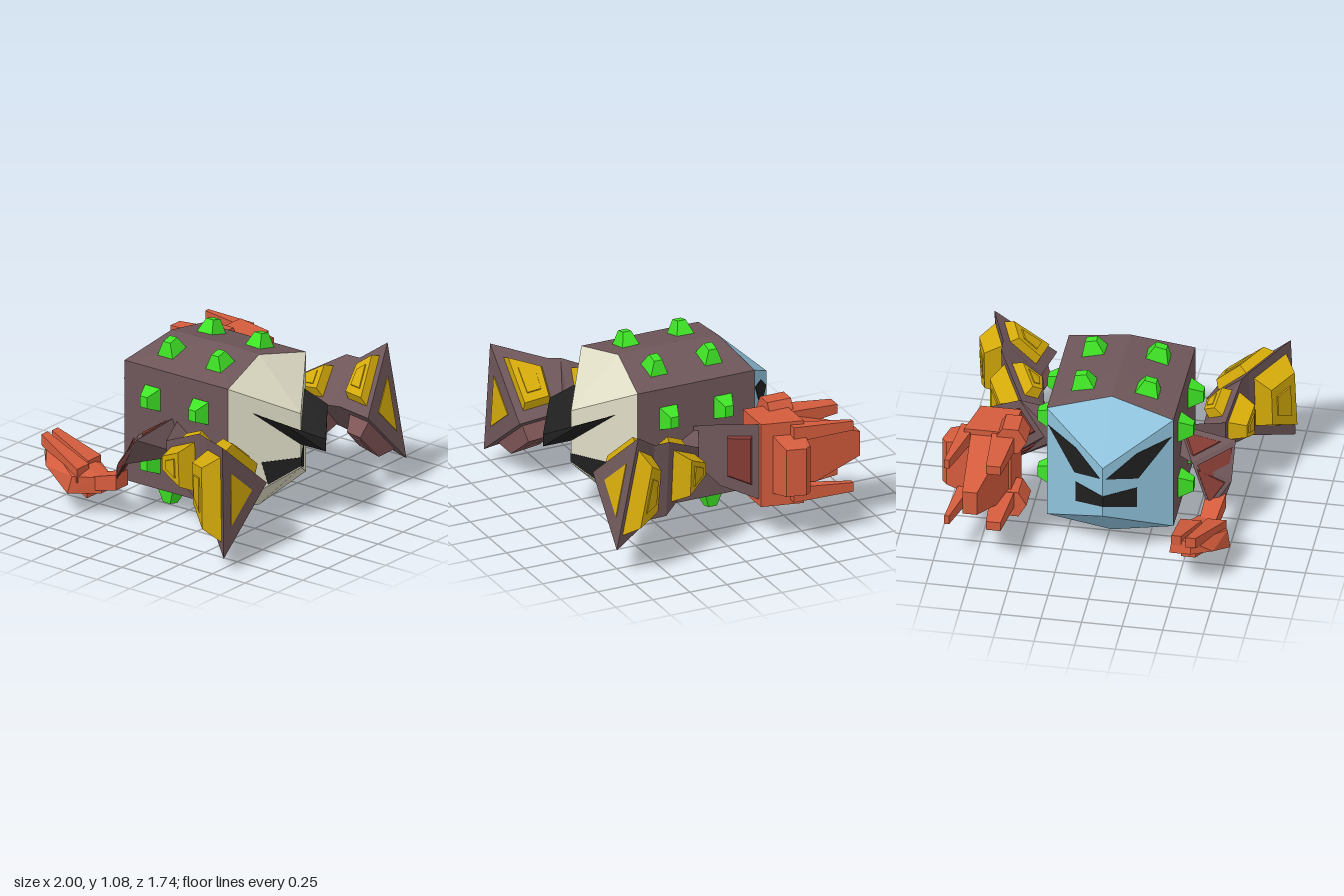
import * as THREE from 'three';
import { ConvexGeometry } from 'three/addons/geometries/ConvexGeometry.js';

const V = (p) => new THREE.Vector3(...p);
const CX = -0.025, CY = 0.54; // body centre line

export function createModel() {
  const model = new THREE.Group();
  model.name = 'robot';
  const paint = (name, color) => {
    const m = new THREE.MeshStandardMaterial({ color });
    m.name = name;
    return m;
  };
  const brown = paint('brown', 0x6e5659), cream = paint('cream', 0xe0ddc6), blue = paint('blue', 0x8fc2dc);
  const green = paint('green', 0x3fe426), yellow = paint('yellow', 0xd3a90a), red = paint('red', 0xd45c3d);
  const darkRed = paint('darkRed', 0x823a34), rust = paint('rust', 0x85595a), black = paint('black', 0x202020);

  // Faceted convex part from its corner points
  function hull(name, mat, pts, parent = model) {
    const mesh = new THREE.Mesh(new ConvexGeometry(pts.map((p) => (p.isVector3 ? p : V(p)))), mat);
    mesh.name = name;
    parent.add(mesh);
    return mesh;
  }

  // Tapered block between two upright rectangles [x0, x1, y0, y1, z]
  function taper(name, mat, a, b, parent) {
    const corners = ([x0, x1, y0, y1, z]) => [[x0, y0, z], [x1, y0, z], [x1, y1, z], [x0, y1, z]];
    return hull(name, mat, [...corners(a), ...corners(b)], parent);
  }

  // Raised bevelled pad with a smaller plate, on a face pointing away from 'inside'
  function pad([mat, height, base, top], face, inside, parent) {
    const c = face.reduce((s, p) => s.add(p), new THREE.Vector3()).divideScalar(face.length);
    const n = face[2].clone().sub(face[0]);
    n.cross(face[face.length - 1].clone().sub(face[1])).normalize();
    if (n.dot(c.clone().sub(inside)) < 0) n.negate();
    const ring = (s, h) => face.map((p) => c.clone().lerp(p, s).addScaledVector(n, h));
    hull('limbPad', mat, [...ring(base, -0.02), ...ring(top, height)], parent);
    if (height > 0.03) hull('limbPadPlate', mat, [...ring(top * 0.6, height - 0.01), ...ring(top * 0.55, height + 0.008)], parent);
  }

  // Three-sided limb through rings of [outer top, outer bottom, inner ridge]
  function limb(name, rings, pads) {
    const g = new THREE.Group();
    g.name = name;
    model.add(g);
    const r = rings.map((ring) => ring.map(V));
    for (let i = 0; i < r.length - 1; i++) {
      const a = r[i], b = r[i + 1], all = [...a, ...b];
      hull('limbSegment', brown, all, g);
      const inside = all.reduce((s, p) => s.add(p), new THREE.Vector3()).divideScalar(6);
      [[0, 1], [0, 2], [1, 2]].forEach(([u, v], k) => {
        const spec = pads[i] && pads[i][k];
        if (spec) pad(spec, [a[u], a[v], b[v], b[u]], inside, g);
      });
    }
    return g;
  }

  // Body shell and its pointed front and back
  const rim = (zCorner, zRidge) => [
    [CX - 0.39, 0.94, zCorner], [CX + 0.39, 0.94, zCorner], [CX - 0.39, 0.16, zCorner], [CX + 0.39, 0.16, zCorner],
    [CX, 1.03, zRidge], [CX, 0.05, zRidge]];
  const frontRim = rim(0.42, 0.36), backRim = rim(-0.37, -0.31);
  hull('body', brown, [...frontRim, ...backRim, [CX, 1.04, 0.03], [CX, 0.04, 0.03]]);
  hull('frontFace', cream, [...frontRim, [CX, 0.72, 0.68], [CX, 0.37, 0.68]]);
  hull('backFace', blue, [...backRim, [CX, 0.72, -0.64], [CX, 0.37, -0.64]]);

  // Point on a face half: t runs from the nose edge (0) to the body corner (1)
  const onFace = (side, front, t, y, off) => [
    CX + side * (0.39 * t + off * 0.55), y, front ? 0.68 - 0.26 * t + off * 0.83 : -0.64 + 0.27 * t - off * 0.83];
  const mark = (name, side, front, pts) => hull(name, black,
    [-0.004, 0.003].flatMap((off) => pts.map(([t, y]) => onFace(side, front, t, y, off))));

  for (const side of [-1, 1]) {
    // Jutting V-shaped visor and the mouth below it
    hull('visor', black, [
      [CX, 0.61, 0.66], [CX, 0.52, 0.66], [CX, 0.6, 0.87], [CX, 0.52, 0.87],
      [CX + side * 0.26, 0.765, 0.5], [CX + side * 0.215, 0.725, 0.72]]);
    mark('mouth', side, true, [[0, 0.435], [0.54, 0.435], [0.45, 0.285], [0, 0.38]]);
    // Eyes and mouth of the back face
    mark('backEye', side, false, [[0.05, 0.635], [0.48, 0.765], [0.97, 0.82], [0.5, 0.58]]);
    mark('backMouth', side, false, [[0, 0.515], [0.48, 0.515], [0.48, 0.375], [0, 0.44]]);

    // Studs on roof, belly and flanks
    for (const up of [-1, 1]) for (const z of [-0.155, 0.213]) {
      stud([CX + side * 0.195, CY + up * 0.445, z], [side * 0.225, up * 0.974, 0]);
      stud([CX + side * 0.39, CY + up * 0.205, z], [side, 0, 0]);
    }
  }
  function stud(at, normal) {
    const n = V(normal), t = n.clone().cross(V([0, 0, 1])), pts = [];
    for (const [h, a, b] of [[-0.02, 0.082, 0.066], [0.09, 0.036, 0.027]])
      for (const i of [-1, 1]) for (const j of [-1, 1])
        pts.push(V(at).addScaledVector(n, h).addScaledVector(t, i * a).add(V([0, 0, j * b])));
    hull('stud', green, pts);
  }

  // Front arms flaring into triangular ends
  const outer = [yellow, 0.11, 0.74, 0.48], upper = [yellow, 0.07, 0.66, 0.46], under = [rust, 0.1, 0.72, 0.48];
  const endOuter = [yellow, 0.11, 0.8, 0.55], endUpper = [yellow, 0.06, 0.7, 0.56];
  const armPads = [null, [outer, upper, under], null, [endOuter, endUpper, under]];
  const arms = [
    ['leftFrontArm', [
      [[0.34, 0.64, 0.0], [0.34, 0.42, 0.0], [0.34, 0.53, 0.18]],
      [[0.6, 0.62, 0.12], [0.6, 0.46, 0.12], [0.48, 0.54, 0.2]],
      [[0.78, 0.79, 0.41], [0.78, 0.3, 0.43], [0.53, 0.55, 0.47]],
      [[0.785, 0.79, 0.51], [0.785, 0.3, 0.55], [0.55, 0.55, 0.54]],
      [[0.865, 0.9, 0.66], [0.865, 0.18, 0.805], [0.5, 0.55, 0.79]]]],
    ['rightFrontArm', [
      [[-0.39, 0.64, 0.02], [-0.39, 0.4, 0.02], [-0.39, 0.52, 0.18]],
      [[-0.65, 0.61, 0.13], [-0.65, 0.43, 0.13], [-0.5, 0.52, 0.2]],
      [[-0.7, 0.74, 0.42], [-0.7, 0.28, 0.44], [-0.49, 0.5, 0.47]],
      [[-0.73, 0.74, 0.49], [-0.74, 0.27, 0.51], [-0.465, 0.5, 0.52]],
      [[-0.94, 0.81, 0.78], [-0.965, 0.1, 0.81], [-0.51, 0.45, 0.79]]]],
  ];
  for (const [name, rings] of arms) {
    const g = limb(name, rings, armPads);
    const end = rings[4].map(V), c = end[0].clone().add(end[1]).add(end[2]).divideScalar(3);
    const n = end[1].clone().sub(end[0]).cross(end[2].clone().sub(end[0])).normalize();
    if (n.z < 0) n.negate();
    hull('endPlate', yellow, [-0.004, 0.005].flatMap((h) => end.map((p) => c.clone().lerp(p, 0.475).addScaledVector(n, h))), g);
  }

  // Left back arm with an open hand
  const inlay = [darkRed, 0.012, 0.74, 0.6];
  const hand = limb('leftBackArm', [
    [[0.34, 0.64, 0.05], [0.34, 0.42, 0.05], [0.34, 0.53, -0.1]],
    [[0.59, 0.74, -0.03], [0.59, 0.33, -0.03], [0.43, 0.53, -0.09]],
    [[0.77, 0.78, -0.2], [0.77, 0.28, -0.2], [0.54, 0.53, -0.24]]], [null, [inlay, inlay, inlay]]);
  taper('palm', red, [0.55, 0.8, 0.24, 0.79, -0.2], [0.57, 0.86, 0.24, 0.79, -0.46], hand);
  hull('knuckle', red, [
    [0.8, 0.32, -0.27], [0.8, 0.71, -0.27], [0.83, 0.32, -0.47], [0.83, 0.71, -0.47],
    [0.97, 0.36, -0.29], [0.97, 0.67, -0.29], [1.0, 0.36, -0.41], [1.0, 0.67, -0.41], [0.97, 0.36, -0.45], [0.97, 0.67, -0.45]], hand);
  taper('mainFinger', red, [0.58, 0.82, 0.3, 0.76, -0.44], [0.71, 0.8, 0.45, 0.61, -0.87], hand);
  for (const up of [-1, 1]) {
    const y = 0.52 + up * 0.2, tip = 0.52 + up * 0.205;
    taper('thinFinger', red, [0.8, 0.89, y - 0.05, y + 0.05, -0.38], [0.9, 0.93, tip - 0.03, tip + 0.03, -0.76], hand);
    taper('sideFinger', red, [0.54, 0.69, y - 0.06, y + 0.06, -0.42], [0.58, 0.67, tip - 0.03, tip + 0.03, -0.78], hand);
    // Six-sided thumb
    const ring = [];
    for (let i = 0; i < 6; i++) for (const z of [-0.33, -0.49])
      ring.push([0.57 + 0.1 * Math.cos(i * Math.PI / 3), 0.52 + up * 0.23 + 0.1 * Math.sin(i * Math.PI / 3), z]);
    hull('thumb', red, ring, hand);
  }

  // Right back arm bending down to a closed claw
  const wide = [darkRed, 0.01, 0.8, 0.68];
  const claw = limb('rightBackArm', [
    [[-0.39, 0.65, 0.0], [-0.39, 0.42, 0.08], [-0.39, 0.52, -0.12]],
    [[-0.74, 0.6, -0.03], [-0.74, 0.4, -0.18], [-0.5, 0.52, -0.2]],
    [[-0.71, 0.3, -0.2], [-0.62, 0.24, -0.28], [-0.58, 0.36, -0.23]]], [[null, inlay, null], [wide, wide, wide]]);
  taper('wrist', red, [-0.71, -0.59, 0.22, 0.32, -0.21], [-0.68, -0.58, 0.16, 0.25, -0.42], claw);
  hull('clawBase', red, [
    [-0.66, 0.15, -0.36], [-0.57, 0.15, -0.36], [-0.66, 0.25, -0.36], [-0.57, 0.25, -0.36],
    [-0.79, 0.15, -0.52], [-0.44, 0.14, -0.52], [-0.77, 0.26, -0.5], [-0.46, 0.26, -0.52], [-0.6, 0.12, -0.46],
    [-0.72, 0.26, -0.74], [-0.6, 0.29, -0.84], [-0.47, 0.29, -0.84], [-0.6, 0.37, -0.82], [-0.48, 0.37, -0.82]], claw);
  taper('clawFinger', red, [-0.76, -0.64, 0.22, 0.31, -0.47], [-0.63, -0.57, 0.34, 0.41, -0.84], claw);
  taper('clawFinger', red, [-0.61, -0.48, 0.22, 0.31, -0.5], [-0.54, -0.48, 0.34, 0.41, -0.83], claw);
  taper('clawThumb', red, [-0.7, -0.54, 0.11, 0.2, -0.44], [-0.62, -0.53, 0.23, 0.3, -0.78], claw);
  return model;
}
